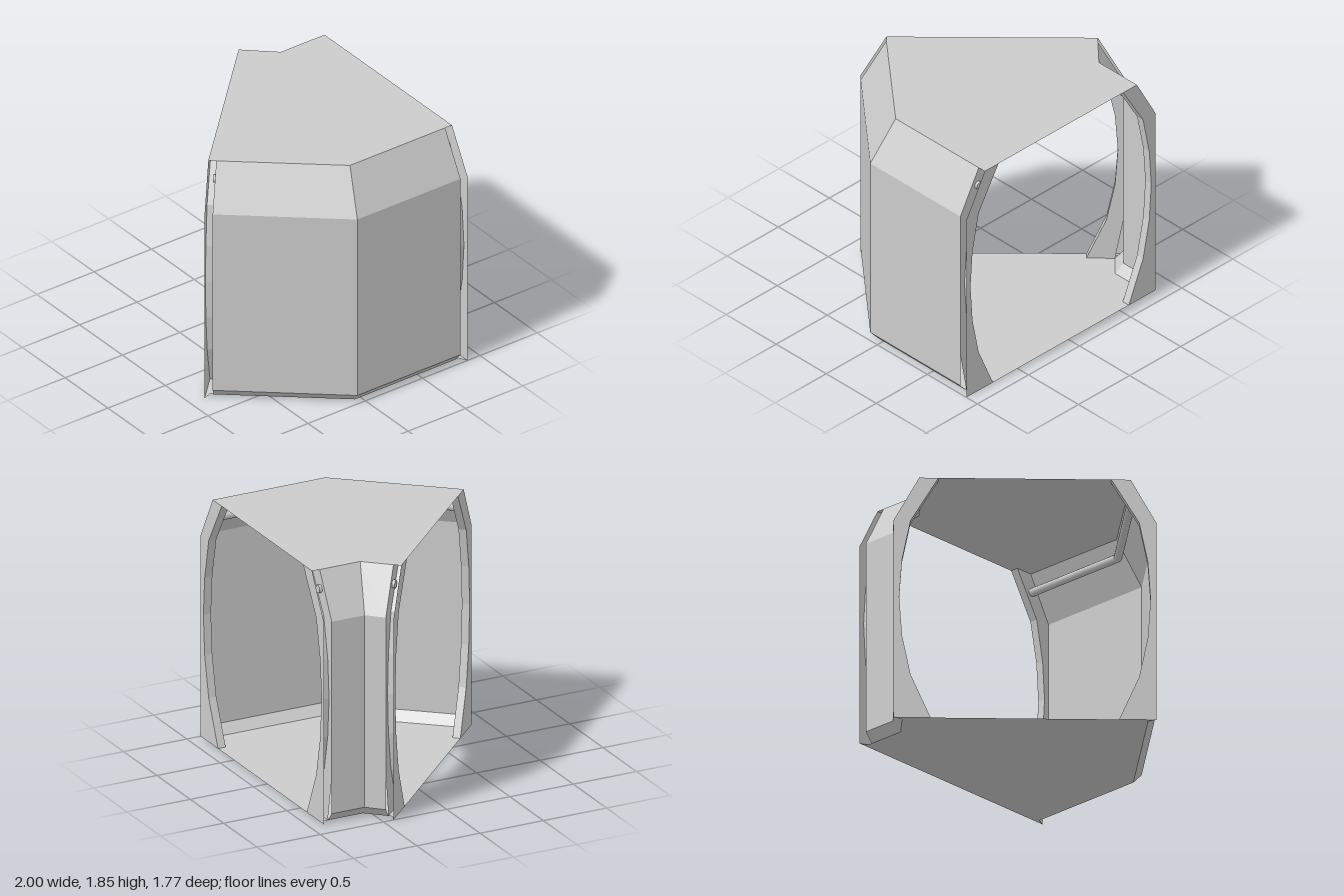
import * as THREE from 'three';

const material = new THREE.MeshStandardMaterial({ color: 0xcccccc, side: THREE.DoubleSide, flatShading: true });
const pipeMaterial = new THREE.MeshStandardMaterial({ color: 0xcccccc });
const ROOF = 1.85;
const S = Math.SQRT1_2;

// Plan positions [x, z] along each wall, for an inset o from the outer face:
// rear end, rear wall end, bend, angled wall end, angled end.
const sides = {
  inner: (o) => [
    [-0.85 + o, -0.89], [-0.85 + o, -0.83], [-0.85 + o, -0.57 + o / 3],
    [-0.96 + S * o, -0.46 + S * o], [-1 + S * o, -0.42 + S * o],
  ],
  outer: (o) => [
    [1 - o, -0.89], [1 - o, -0.83], [1 - o, 0.07 - o * 0.39],
    [0.34 - S * o, 0.84 - S * o], [0.3 - S * o, 0.88 - S * o],
  ],
};

// Profiles as [inset, height]
const wallProfile = [[0.06, 0], [0, 0.07], [0, 1.52], [0.18, ROOF]];
const flangeProfile = [[0, 0], [0, 0.33], [0, 0.63], [0, 0.93], [0, 1.22], [0, 1.52], [0.18, ROOF]];
const archProfile = [[0.26, 0], [0.12, 0.33], [0.06, 0.63], [0.04, 0.93], [0.06, 1.22], [0.12, 1.52], [0.315, ROOF]];
const endProfile = [[0.06, 0], [0, 0.33], [0, 0.63], [0, 0.93], [0, 1.22], [0, 1.52], [0.18, ROOF]];

// Quad strip surface through rows of points
function sheet(name, rows) {
  const n = rows[0].length;
  const index = [];
  for (let r = 0; r < rows.length - 1; r++) {
    for (let i = 0; i < n - 1; i++) {
      const a = r * n + i;
      index.push(a, a + 1, a + n, a + 1, a + n + 1, a + n);
    }
  }
  const geometry = new THREE.BufferGeometry().setFromPoints(rows.flat());
  geometry.setIndex(index);
  geometry.computeVertexNormals();
  const mesh = new THREE.Mesh(geometry, material);
  mesh.name = name;
  return mesh;
}

// A profile placed at one plan position of a wall
const section = (plan, profile, station) => profile.map(([o, y]) => {
  const [x, z] = plan(o)[station];
  return new THREE.Vector3(x, y, z);
});

// Flat horizontal plate from plan points
function plate(name, points, y) {
  const shape = new THREE.Shape(points.map(([x, z]) => new THREE.Vector2(x, -z)));
  const mesh = new THREE.Mesh(new THREE.ShapeGeometry(shape).rotateX(-Math.PI / 2), material);
  mesh.position.y = y;
  mesh.name = name;
  return mesh;
}

// Pipe following a wall under the roof, with a ball elbow at the bend
function pipe(name, plan) {
  const group = new THREE.Group();
  group.name = name;
  const p = plan(0.17).map(([x, z]) => new THREE.Vector3(x, 1.71, z));
  const path = [p[1].clone().lerp(p[0], 0.35), p[2], p[3].clone().lerp(p[4], 0.35)];
  for (let i = 0; i < 2; i++) {
    const dir = path[i + 1].clone().sub(path[i]);
    const rod = new THREE.Mesh(new THREE.CylinderGeometry(0.03, 0.03, dir.length(), 12), pipeMaterial);
    rod.position.copy(path[i]).addScaledVector(dir, 0.5);
    rod.quaternion.setFromUnitVectors(new THREE.Vector3(0, 1, 0), dir.normalize());
    rod.name = 'pipeRun';
    group.add(rod);
  }
  const elbow = new THREE.Mesh(new THREE.SphereGeometry(0.03, 12, 8), pipeMaterial);
  elbow.position.copy(p[2]);
  elbow.name = 'pipeElbow';
  group.add(elbow);
  return group;
}

export function createModel() {
  const model = new THREE.Group();
  model.name = 'corridorBend';

  for (const [side, plan] of Object.entries(sides)) {
    // Bent wall with kerb and sloping shoulder
    model.add(sheet(side + 'Wall', [1, 2, 3].map((s) => section(plan, wallProfile, s))));
    // Arched flange at each opening: face, rim and wall end
    for (const [label, tip, root] of [['Rear', 0, 1], ['Angled', 4, 3]]) {
      const frame = new THREE.Group();
      frame.name = side + label + 'Frame';
      frame.add(
        sheet('flangeFace', [section(plan, flangeProfile, tip), section(plan, archProfile, tip)]),
        sheet('archRim', [section(plan, archProfile, tip), section(plan, archProfile, root)]),
        sheet('wallEnd', [section(plan, archProfile, root), section(plan, endProfile, root)]),
      );
      model.add(frame);
    }
    model.add(pipe(side + 'Pipe', plan));
  }

  // Floor, flaring to the flange corners
  const floorEdge = (plan) => {
    const tip = plan(0), kerb = plan(0.06);
    const mid = (a, b) => [(kerb[a][0] + kerb[b][0]) / 2, (kerb[a][1] + kerb[b][1]) / 2];
    return [tip[0], mid(0, 1), kerb[1], kerb[2], kerb[3], mid(3, 4), tip[4]];
  };
  model.add(plate('floor', [...floorEdge(sides.inner), ...floorEdge(sides.outer).reverse()], 0));

  // Roof between the shoulders
  model.add(plate('roof', [...sides.inner(0.18), ...sides.outer(0.18).reverse()], ROOF));

  return model;
}
